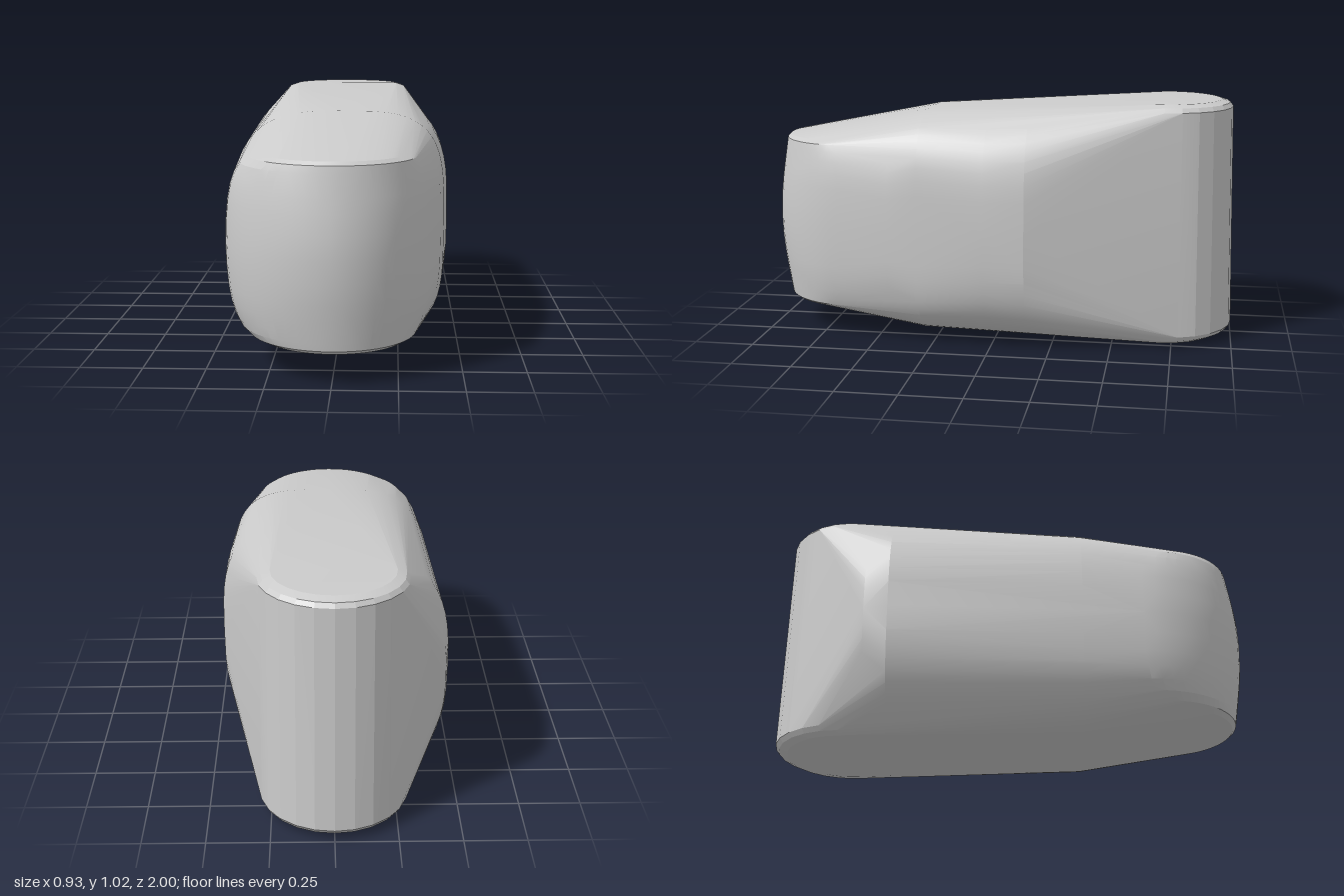
import * as THREE from 'three';
import { ConvexGeometry } from 'three/addons/geometries/ConvexGeometry.js';
import { toCreasedNormals } from 'three/addons/utils/BufferGeometryUtils.js';

// Half of an upright superellipse: side -1 is the model's right, +1 its left.
function sideRib(points, side, z, width, bottom, top, power) {
  const mid = (bottom + top) / 2, half = (top - bottom) / 2, steps = 28;
  for (let i = 0; i <= steps; i++) {
    const t = (i / steps - 0.5) * Math.PI;
    const c = Math.max(Math.cos(t), 0), s = Math.sin(t);
    points.push(new THREE.Vector3(
      side * width * c ** (2 / power),
      mid + half * Math.sign(s) * Math.abs(s) ** (2 / power),
      z));
  }
}

// Rounded end of a horizontal slice, with separate widths for each side.
function roundEnd(points, y, right, left, centre, tip, steps) {
  for (let i = 0; i <= steps; i++) {
    const a = (i / steps) * Math.PI, c = Math.cos(a);
    points.push(new THREE.Vector3(
      c * (c < 0 ? right : left), y, centre + (tip - centre) * Math.sin(a)));
  }
}

export function createModel() {
  const points = [];

  // Bulging front: [height from the middle, right width, left width, centre z, tip z]
  const front = [
    [0, 0.44, 0.38, 0.55, 1], [0.09, 0.437, 0.378, 0.55, 0.997],
    [0.17, 0.43, 0.375, 0.55, 0.988], [0.23, 0.418, 0.367, 0.56, 0.979],
    [0.28, 0.4, 0.355, 0.57, 0.97], [0.32, 0.375, 0.34, 0.59, 0.965],
    [0.348, 0.335, 0.32, 0.63, 0.96], [0.362, 0.285, 0.285, 0.66, 0.945],
  ];
  for (const [h, right, left, centre, tip] of front) {
    for (const dir of [-1, 1]) roundEnd(points, 0.483 + dir * h, right, left, centre, tip, 28);
  }

  // Uneven sides: the right bulge reaches further back than the left one
  sideRib(points, -1, -0.6, 0.45, 0.06, 0.95, 2.6);
  sideRib(points, -1, -0.5, 0.467, 0.006, 1.008, 2.9);
  sideRib(points, -1, 0.3, 0.446, 0.023, 0.972, 3);
  sideRib(points, 1, -0.15, 0.462, 0.012, 0.99, 3.4);
  sideRib(points, 1, 0.02, 0.462, 0.016, 0.983, 3.4);
  sideRib(points, 1, 0.3, 0.438, 0.023, 0.972, 3.8);
  sideRib(points, 1, 0.43, 0.42, 0.05, 0.94, 3.6);

  // Upright round back with softened rims: [y, radius, tip z]
  const back = [
    [0, 0.2, -0.88], [0.015, 0.265, -0.95], [0.03, 0.288, -0.985], [0.05, 0.3, -1],
    [0.99, 0.29, -0.98], [1.008, 0.275, -0.967], [1.02, 0.24, -0.93],
  ];
  for (const [y, r, tip] of back) roundEnd(points, y, r, r, -0.7, tip, 12);

  // One taut skin drawn over all the sections
  const skin = toCreasedNormals(new ConvexGeometry(points), 0.2);
  const body = new THREE.Mesh(skin, new THREE.MeshStandardMaterial({ color: 0xcccccc }));
  body.name = 'body';

  const group = new THREE.Group();
  group.name = 'roundedBlock';
  group.add(body);
  return group;
}
